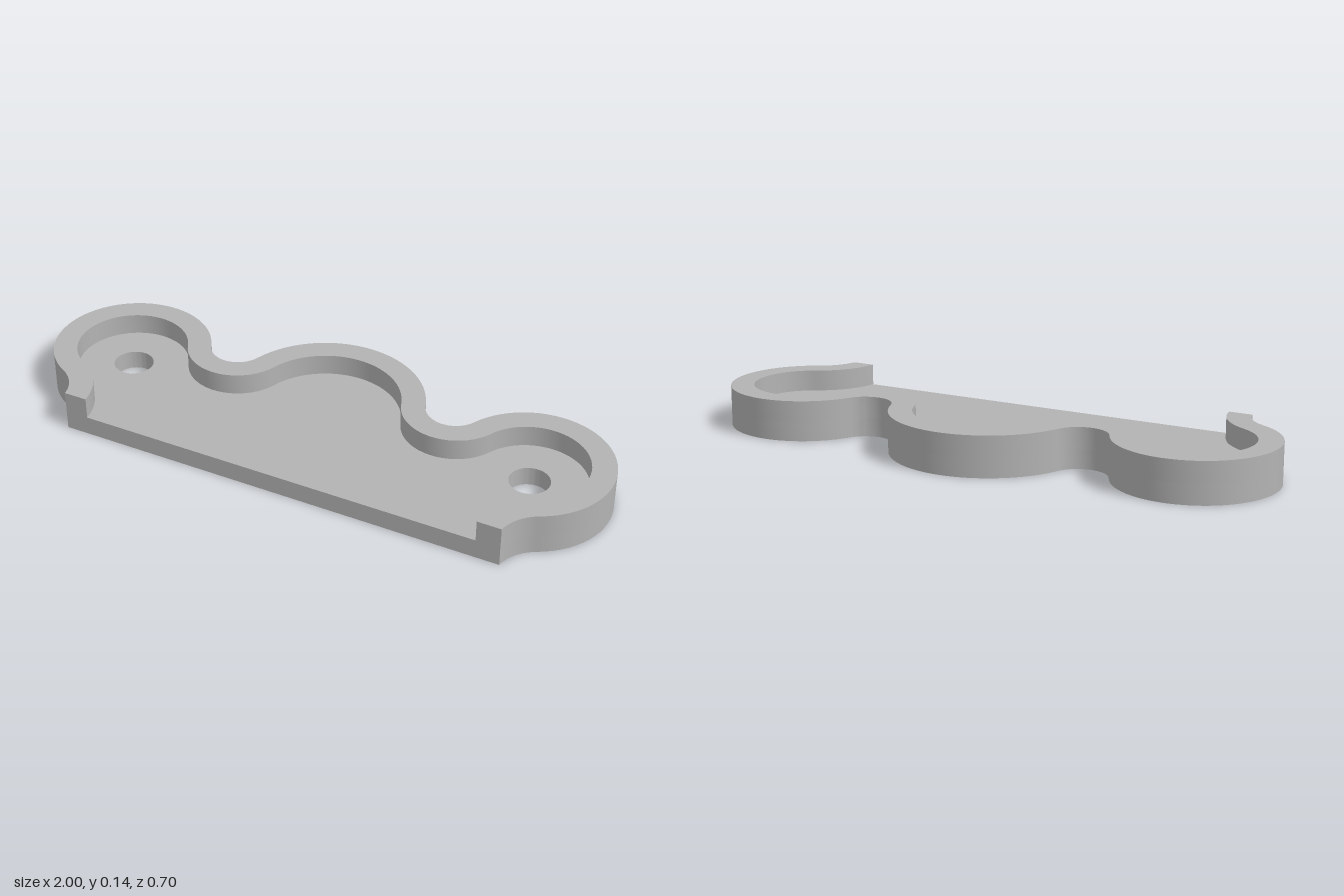
import * as THREE from 'three';
import { toCreasedNormals } from 'three/addons/utils/BufferGeometryUtils.js';

const FRONT = 0.348, FLOOR = 0.065, HEIGHT = 0.138, WALL = 0.08;
const LOBE = { x: 0.731, z: 0, r: 0.269 };
const VALLEY = { x: 0.402, z: -0.155, r: 0.0947 };
const CROWN = { x: 0, z: -0.018, r: 0.33 };
const FLARE = { x: 0.924, z: 0.372, r: 0.15 };

const angleTo = (a, b) => Math.atan2(b.z - a.z, b.x - a.x);

// points along an arc, in plan (shape y = -z)
function arc(c, r, from, to, n) {
  return Array.from({ length: n + 1 }, (_, i) => {
    const t = from + (to - from) * i / n;
    return new THREE.Vector2(c.x + r * Math.cos(t), -(c.z + r * Math.sin(t)));
  });
}

// scalloped edge from right front corner round the back to left front corner, moved in by d
function scallop(d) {
  const flareR = FLARE.r + d;
  const half = [
    ...arc(FLARE, flareR, -Math.PI - Math.asin((FRONT - FLARE.z) / flareR), angleTo(FLARE, LOBE), 10),
    ...arc(LOBE, LOBE.r - d, angleTo(LOBE, FLARE), angleTo(LOBE, VALLEY), 40).slice(1),
    ...arc(VALLEY, VALLEY.r + d, angleTo(VALLEY, LOBE), angleTo(VALLEY, CROWN), 20).slice(1),
    ...arc(CROWN, CROWN.r - d, angleTo(CROWN, VALLEY), -Math.PI / 2, 20).slice(1),
  ];
  const mirrored = half.slice(0, -1).reverse().map(p => new THREE.Vector2(-p.x, p.y));
  return [...half, ...mirrored];
}

// upright extrusion with smooth curves and sharp corners
function slab(name, shape, bottom, top, material) {
  const geo = new THREE.ExtrudeGeometry(shape, { depth: top - bottom, bevelEnabled: false, curveSegments: 32 });
  geo.rotateX(-Math.PI / 2).translate(0, bottom, 0);
  const mesh = new THREE.Mesh(toCreasedNormals(geo, 0.5), material);
  mesh.name = name;
  return mesh;
}

export function createModel() {
  const group = new THREE.Group();
  group.name = 'mountingPlate';
  const grey = new THREE.MeshStandardMaterial({ name: 'grey', color: 0xb3b3b3 });

  // base plate with two screw holes
  const base = new THREE.Shape(scallop(0));
  for (const side of [1, -1]) {
    const hole = new THREE.Path();
    hole.absarc(side * LOBE.x, 0, 0.067, 0, Math.PI * 2, true);
    base.holes.push(hole);
  }
  group.add(slab('basePlate', base, 0, FLOOR, grey));

  // raised rim, open along the front
  const rim = new THREE.Shape([...scallop(0), ...scallop(WALL).reverse()]);
  group.add(slab('rim', rim, FLOOR, HEIGHT, grey));
  return group;
}
